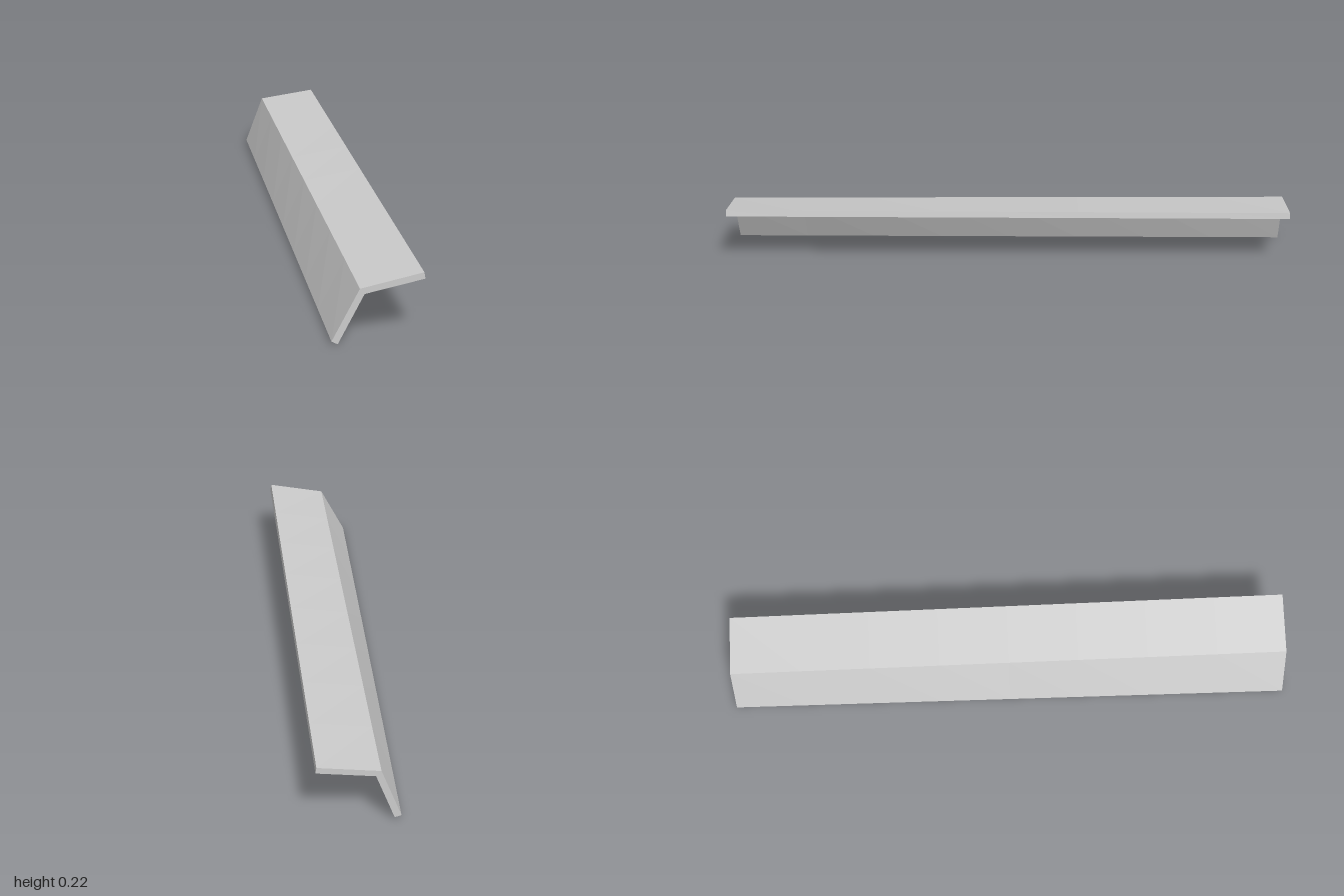
import * as THREE from 'three';

// Bent-strip cross-sections, counter-clockwise seen from the front:
// leg tip (outer, inner), inner corner, flange tip (lower, upper), outer corner
const FRONT = [[-0.15, 0.012], [-0.13, 0.001], [-0.045, 0.166], [0.149, 0.203], [0.145, 0.225], [-0.06, 0.185]];
const BACK = [[-0.127, 0.018], [-0.105, 0.011], [-0.043, 0.176], [0.149, 0.2], [0.146, 0.221], [-0.06, 0.195]];
const SEGMENTS = 8;

// Section at t: 0 is the back end, 1 is the front end
function section(t) {
  return BACK.map(([x, y], i) => [
    THREE.MathUtils.lerp(x, FRONT[i][0], t),
    THREE.MathUtils.lerp(y, FRONT[i][1], t),
    -1 + 2 * t,
  ]);
}

function loftGeometry() {
  const positions = [];
  const quad = (a, b, c, d) => positions.push(...a, ...b, ...c, ...a, ...c, ...d);

  // Long walls, slightly twisting along the length
  for (let s = 0; s < SEGMENTS; s++) {
    const p = section(s / SEGMENTS);
    const q = section((s + 1) / SEGMENTS);
    for (let i = 0; i < p.length; i++) {
      const j = (i + 1) % p.length;
      quad(p[i], p[j], q[j], q[i]);
    }
  }

  // End caps: one quad for the leg, one for the flange
  const f = section(1);
  const b = section(0);
  for (const [i, j, k, l] of [[0, 1, 2, 5], [2, 3, 4, 5]]) {
    quad(f[i], f[j], f[k], f[l]);
    quad(b[l], b[k], b[j], b[i]);
  }

  const geometry = new THREE.BufferGeometry();
  geometry.setAttribute('position', new THREE.Float32BufferAttribute(positions, 3));
  geometry.computeVertexNormals();
  return geometry;
}

export function createModel() {
  const group = new THREE.Group();
  group.name = 'angleTrim';
  const material = new THREE.MeshStandardMaterial({ color: 0xcccccc, flatShading: true });
  const strip = new THREE.Mesh(loftGeometry(), material);
  strip.name = 'angleStrip';
  group.add(strip);
  return group;
}
